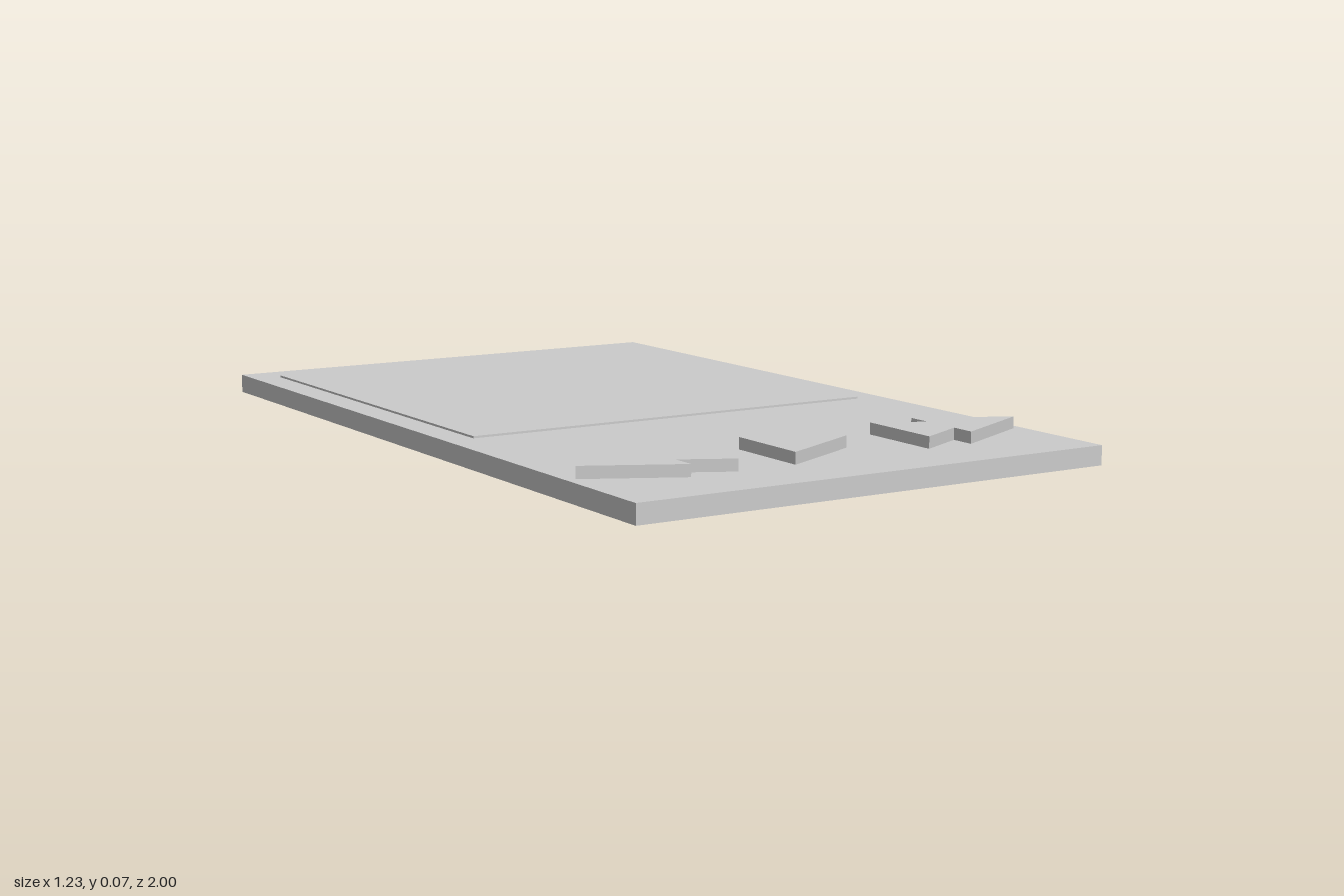
import * as THREE from 'three';

const BODY = { w: 1.226, h: 0.046, d: 2 };
const material = new THREE.MeshStandardMaterial({ color: 0xcccccc, flatShading: true });

// Box resting on the given height
function slab(name, w, h, d, bottom, z) {
  const mesh = new THREE.Mesh(new THREE.BoxGeometry(w, h, d), material);
  mesh.name = name;
  mesh.position.set(0, bottom + h / 2, z);
  return mesh;
}

// Raised symbol; the outline lies flat on top of the body, side -1 mirrors it
function button(name, outline, side = 1) {
  const shape = new THREE.Shape(outline.map(([x, z]) => new THREE.Vector2(side * x, z)));
  const geometry = new THREE.ExtrudeGeometry(shape, { depth: 0.028, bevelEnabled: false });
  geometry.rotateX(-Math.PI / 2);
  const mesh = new THREE.Mesh(geometry, material);
  mesh.name = name;
  mesh.position.set(0, BODY.h, 0.725);
  return mesh;
}

export function createModel() {
  const group = new THREE.Group();
  group.name = 'mediaPlayer';

  // Flat body and thin raised screen
  group.add(slab('body', BODY.w, BODY.h, BODY.d, 0, 0));
  group.add(slab('screen', 1.086, 0.005, 1.09, BODY.h, -0.36));

  // Single arrow in the middle, double arrows pointing outwards on each side
  const r = 0.108;
  const single = [[-r, -r], [r, 0], [-r, r]];
  const double = [
    [0.255, -r], [0.374, -0.048], [0.374, -r], [0.59, 0],
    [0.374, r], [0.374, 0.048], [0.255, r],
  ];
  group.add(button('playButton', single));
  group.add(button('forwardButton', double));
  group.add(button('rewindButton', double, -1));

  return group;
}
